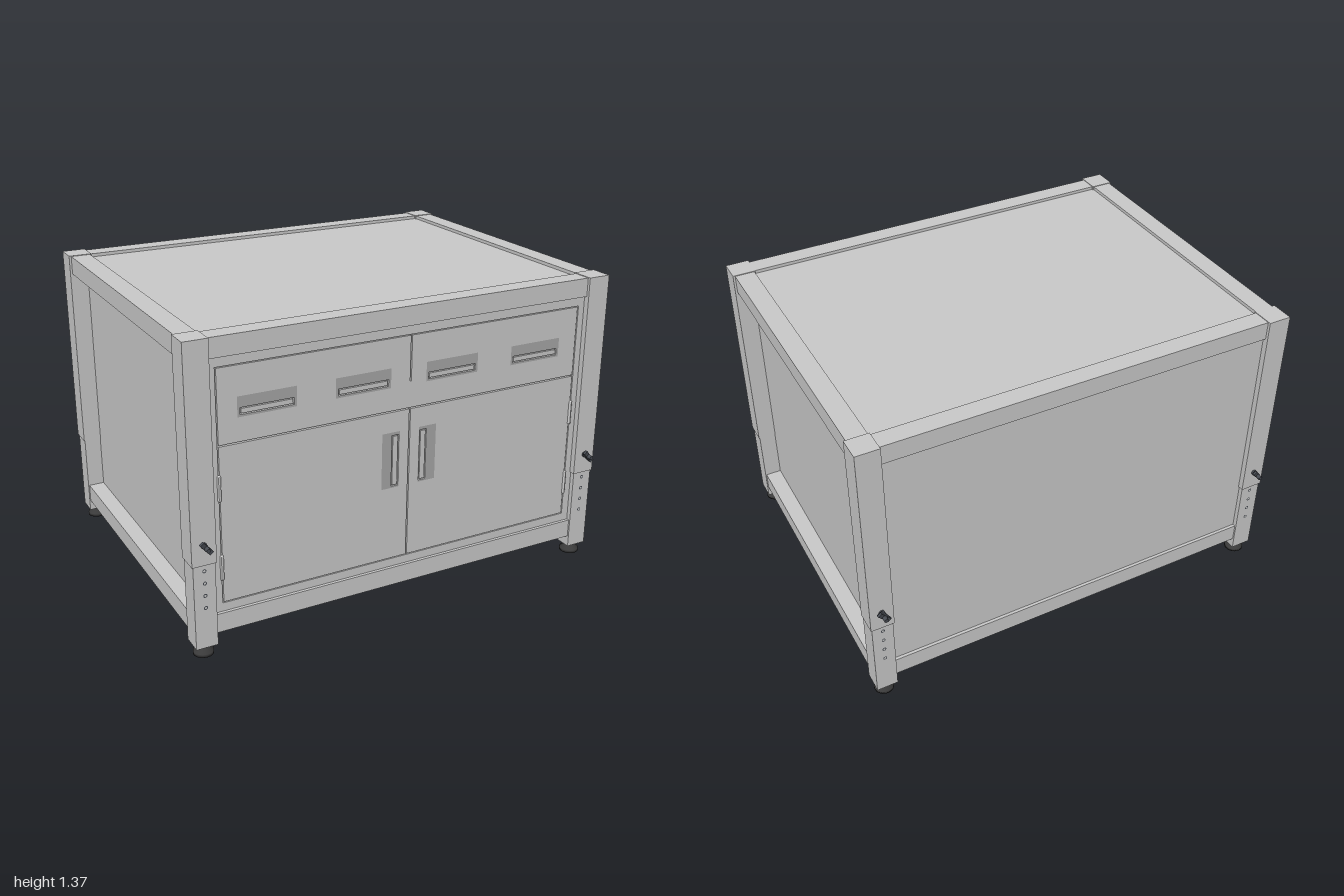
import * as THREE from 'three';

const grey = new THREE.MeshStandardMaterial({ color: 0xcccccc, flatShading: true });
const pocketGrey = new THREE.MeshStandardMaterial({ color: 0xa8a8a8 });
const rubber = new THREE.MeshStandardMaterial({ color: 0x3a3a3a });
const darkMetal = new THREE.MeshStandardMaterial({ color: 0x474b52 });

const BODY_X = 0.917, BODY_Z = 0.743;
const LEG_X = 0.947, LEG_Z = 0.717;
const SPLIT = 0.006; // x of the gap between the two doors

function add(parent, name, geometry, material = grey) {
  const mesh = new THREE.Mesh(geometry, material);
  mesh.name = name;
  parent.add(mesh);
  return mesh;
}

// Box given by its lower and upper limits on each axis
function box(parent, name, [x0, x1], [y0, y1], [z0, z1], material) {
  const mesh = add(parent, name, new THREE.BoxGeometry(x1 - x0, y1 - y0, z1 - z0), material);
  mesh.position.set((x0 + x1) / 2, (y0 + y1) / 2, (z0 + z1) / 2);
}

const inset = ([a, b], d) => [a + d, b - d];

function rectangle(PathType, [x0, x1], [y0, y1]) {
  return new PathType([[x0, y0], [x1, y0], [x1, y1], [x0, y1]].map(p => new THREE.Vector2(...p)));
}

function rectangleWithHoles(xs, ys, holes) {
  const shape = rectangle(THREE.Shape, xs, ys);
  for (const [hx, hy] of holes) shape.holes.push(rectangle(THREE.Path, hx, hy));
  return shape;
}

// Flat front plate with rectangular openings
function plate(parent, name, xs, ys, holes, depth) {
  const shape = rectangleWithHoles(xs, ys, holes);
  const mesh = add(parent, name, new THREE.ExtrudeGeometry(shape, { depth, bevelEnabled: false }));
  mesh.position.z = BODY_Z - depth;
}

// Square-tube rails all round, at the bottom and at the top
function buildRails(model) {
  for (const [level, ys] of [['bottom', [0.1, 0.185]], ['top', [1.28, 1.364]]]) {
    for (const s of [1, -1]) {
      const side = s > 0 ? 'Left' : 'Right', end = s > 0 ? 'Front' : 'Back';
      box(model, level + side + 'Rail', s > 0 ? [0.9, 0.99] : [-0.99, -0.9], ys, [-0.68, 0.68]);
      box(model, level + end + 'Rail', [-0.91, 0.91], ys, s > 0 ? [0.671, 0.757] : [-0.757, -0.671]);
    }
  }
}

// Leveling foot, turned profile
function buildFoot(parent) {
  const profile = [[0, 0], [0.044, 0], [0.044, 0.014], [0.022, 0.028], [0.017, 0.03], [0.017, 0.06]];
  const geometry = new THREE.LatheGeometry(profile.map(p => new THREE.Vector2(...p)), 24);
  add(parent, 'levelingFoot', geometry, rubber);
}

// Wing screw pointing along +z: a tapered hub and two swept wings
function buildWingScrew() {
  const screw = new THREE.Group();
  screw.name = 'wingScrew';
  const hub = add(screw, 'screwHub', new THREE.CylinderGeometry(0.009, 0.013, 0.053, 16), darkMetal);
  hub.rotation.x = Math.PI / 2;
  hub.position.z = 0.0265;
  const outline = [[0.004, 0.006], [0.03, 0.02], [0.036, 0.028], [0.031, 0.035], [0.004, 0.032]];
  const wing = new THREE.Shape(outline.map(p => new THREE.Vector2(...p)));
  for (const turn of [0, Math.PI]) {
    const geometry = new THREE.ExtrudeGeometry(wing, { depth: 0.02, bevelEnabled: false });
    const part = add(screw, 'screwWing', geometry.translate(0, 0, -0.01).rotateX(Math.PI / 2), darkMetal);
    part.rotation.z = turn;
  }
  screw.rotation.z = -0.87;
  return screw;
}

// Telescoping corner leg with sleeve, adjusting holes, foot and wing screw
function buildLegs(model) {
  for (const sx of [1, -1]) for (const sz of [1, -1]) {
    const leg = new THREE.Group();
    leg.name = (sz > 0 ? 'front' : 'back') + (sx > 0 ? 'Left' : 'Right') + 'Leg';
    leg.position.set(sx * LEG_X, 0, sz * LEG_Z);
    leg.rotation.y = sz > 0 ? 0 : Math.PI;
    box(leg, 'legSleeve', [-0.053, 0.053], [0.43, 1.367], [-0.053, 0.053]);
    box(leg, 'innerLeg', [-0.048, 0.048], [0.05, 0.5], [-0.048, 0.048]);
    for (let i = 0; i < 4; i++) {
      const hole = add(leg, 'adjustingHole', new THREE.RingGeometry(0.005, 0.009, 16), darkMetal);
      hole.position.set(0, 0.235 + i * 0.056, 0.0485);
    }
    buildFoot(leg);
    const screw = buildWingScrew();
    screw.position.set(0, 0.52, 0.053);
    leg.add(screw);
    model.add(leg);
  }
}

// Pull: darker surround on the surface, with a grip bar set into a slot
function buildPull(model, surround, slot) {
  const face = new THREE.ShapeGeometry(rectangleWithHoles(...surround, [slot]));
  add(model, 'handleSurround', face, pocketGrey).position.z = BODY_Z + 0.001;
  box(model, 'handleBar', inset(slot[0], 0.005), inset(slot[1], 0.005), [BODY_Z - 0.026, BODY_Z]);
}

function buildFront(model) {
  plate(model, 'frontFrame', [-BODY_X, BODY_X], [0.185, 1.28], [[[-0.864, 0.864], [0.223, 1.238]]], 0.03);

  // Drawer fronts, two pulls each
  const slots = [-0.648, -0.217, 0.21, 0.64].map(x => [[x - 0.117, x + 0.117], [1.029, 1.059]]);
  plate(model, 'drawerFront', [-0.859, SPLIT - 0.003], [0.917, 1.234], slots.slice(0, 2), 0.025);
  plate(model, 'drawerFront', [SPLIT + 0.003, 0.859], [0.917, 1.234], slots.slice(2), 0.025);
  box(model, 'drawerGapFiller', [SPLIT - 0.004, SPLIT + 0.004], [0.917, 1.035], [BODY_Z - 0.025, BODY_Z]);
  for (const slot of slots) buildPull(model, [inset(slot[0], -0.011), [1.02, 1.106]], slot);

  // Doors with upright pulls and hinges
  for (const s of [1, -1]) {
    const span = (a, b) => s > 0 ? [SPLIT + a, SPLIT + b] : [SPLIT - b, SPLIT - a];
    const slot = [span(0.051, 0.085), [0.572, 0.806]];
    const xs = s > 0 ? [SPLIT + 0.003, 0.859] : [-0.859, SPLIT - 0.003];
    plate(model, 'door', xs, [0.227, 0.911], [slot], 0.025);
    buildPull(model, [span(0.047, 0.132), [0.565, 0.82]], slot);
    for (const y of [0.385, 0.735]) {
      const hinge = add(model, 'hinge', new THREE.CapsuleGeometry(0.008, 0.1, 4, 12));
      hinge.position.set(s * 0.862, y, BODY_Z);
    }
  }
}

export function createModel() {
  const model = new THREE.Group();
  model.name = 'workbenchCabinet';
  // Cabinet carcass; its top is the worktop set between the rails
  box(model, 'carcass', [-BODY_X, BODY_X], [0.15, 1.349], [-BODY_Z, BODY_Z - 0.024]);
  buildRails(model);
  buildFront(model);
  buildLegs(model);
  return model;
}
